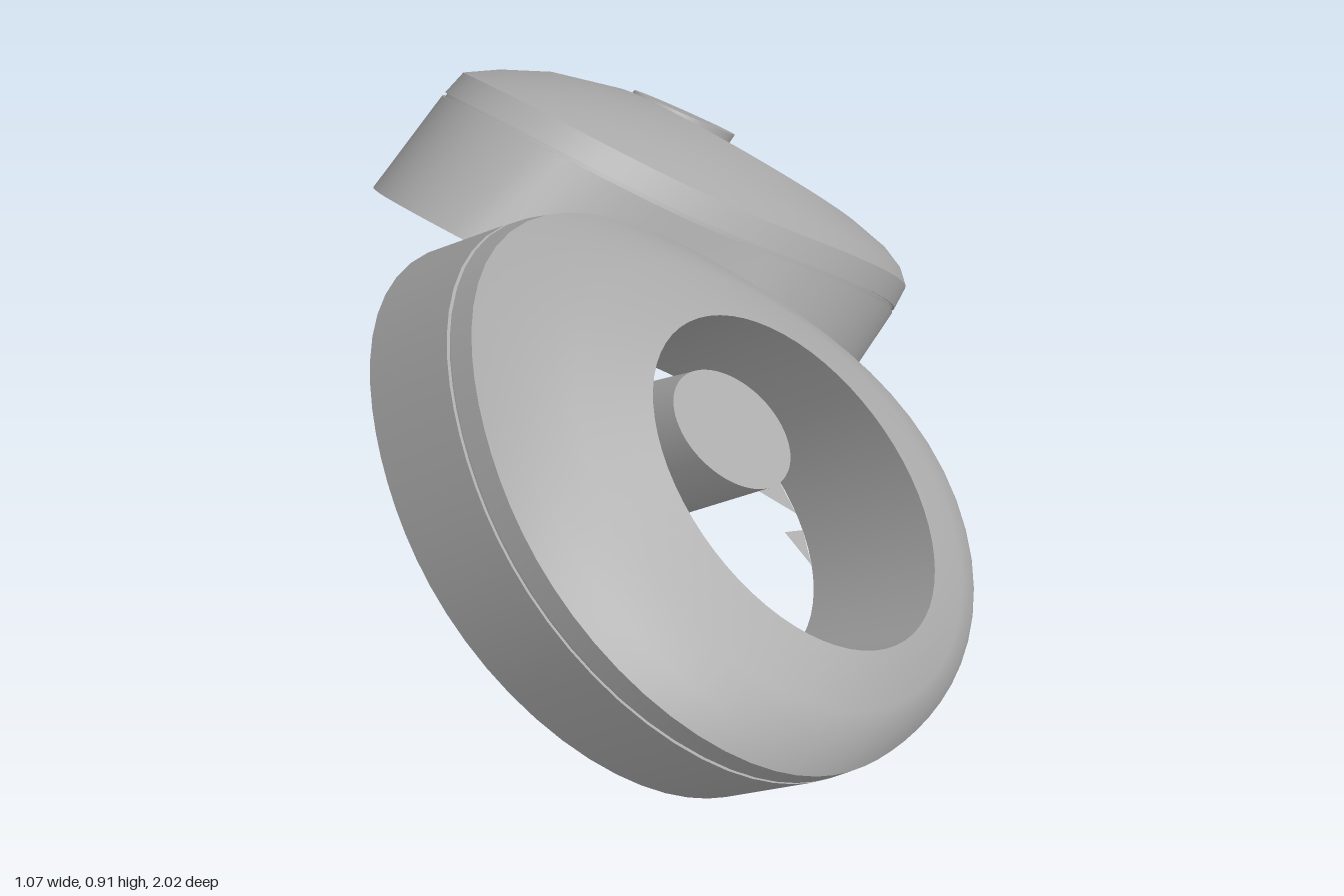
import * as THREE from 'three';

const SEG = 64;
// Each ring leans along an axis; its loops lie on a slope
const axis = [0.6, 0.565, 0.565];
const base = [-0.085, 0.381, 0.401];
const slope = (x, z) => -0.64 * x - 0.545 * z;

// Point at angle t on a loop
// {r: radius, h: height along axis, x, z: shift, k: steepness, e: egg shape with a saddle bend}
function place({ r, h, x = 0, z = 0, k = 1, e = 0 }, t, side) {
  const [c1, c2, c3] = [1, 2, 3].map((n) => Math.cos(n * (t + Math.PI / 4)));
  const egg = r * (1 - e * (0.06 * c1 + 0.034 * c2 + 0.06 * c3));
  const bend = -e * r * (0.03 + 0.075 * c2 + 0.035 * c3);
  const dx = egg * Math.cos(t), dz = -egg * Math.sin(t);
  return [
    base[0] + axis[0] * h + x + dx,
    base[1] + axis[1] * h + slope(x, z) + k * slope(dx, dz) + bend,
    Math.max(0, base[2] + axis[2] * h + z + dz) * side,
  ];
}

// Smooth skin through a row of loops
function skin(loops, side) {
  const pos = [], idx = [];
  for (const loop of loops)
    for (let j = 0; j < SEG; j++) pos.push(...place(loop, j / SEG * Math.PI * 2, side));
  for (let i = 0; i < loops.length - 1; i++)
    for (let j = 0; j < SEG; j++) {
      const n = (j + 1) % SEG;
      const a = i * SEG + j, b = i * SEG + n, c = a + SEG, d = b + SEG;
      if (side > 0) idx.push(a, b, c, b, d, c);
      else idx.push(a, c, b, b, c, d);
    }
  const g = new THREE.BufferGeometry();
  g.setAttribute('position', new THREE.Float32BufferAttribute(pos, 3));
  g.setIndex(idx);
  g.computeVertexNormals();
  return g;
}

// Small flat slivers around the lower edge of the hole
function slivers(hole, side) {
  const pos = [];
  for (const [t, len] of [[0.2, 0.04], [0.55, 0.06], [0.95, 0.06], [3.3, 0.04], [4.2, 0.08]]) {
    pos.push(...place(hole, t - 0.12, side), ...place(hole, t + 0.12, side),
      ...place({ ...hole, r: hole.r - len }, t + 0.08, side));
  }
  const g = new THREE.BufferGeometry();
  g.setAttribute('position', new THREE.Float32BufferAttribute(pos, 3));
  g.computeVertexNormals();
  return g;
}

export function createModel() {
  const model = new THREE.Group();
  const grey = new THREE.MeshStandardMaterial({ color: 0xa8a8a8, side: THREE.DoubleSide });
  grey.name = 'grey';

  // Loops of the ring, from the base outwards, over the top and down the hole
  const baseRim = { r: 0.446, h: 0, e: 1 };
  const wallTop = { r: 0.444, h: 0.228, e: 1 };
  const grooveLow = { r: 0.439, h: 0.228, e: 1 };
  const grooveTop = { r: 0.439, h: 0.237, e: 1 };
  const bandLow = { r: 0.443, h: 0.237, e: 1 };
  const crownEdge = { r: 0.438, h: 0.289, e: 1 };
  const crownLow = { r: 0.4, h: 0.323, x: 0.013, z: -0.008, e: 0.75 };
  const crownHigh = { r: 0.34, h: 0.354, x: 0.033, z: -0.02, k: 1.03, e: 0.4 };
  const holeTop = { r: 0.248, h: 0.379, x: 0.058, z: -0.037, k: 1.07 };
  const holeBase = { ...holeTop, h: 0.06, k: 1 };

  // Pin standing inside the hole, with a flatter cap
  const pinTop = { r: 0.101, h: 0.41, x: -0.073, z: -0.056, k: 0.83 };
  const pinBase = { ...pinTop, h: 0.07, k: 1 };

  const parts = {
    outerWall: [baseRim, wallTop],
    grooveLedge: [wallTop, grooveLow],
    groove: [grooveLow, grooveTop],
    grooveLip: [grooveTop, bandLow],
    band: [bandLow, crownEdge],
    crown: [crownEdge, crownLow, crownHigh, holeTop],
    holeWall: [holeTop, holeBase],
    baseFace: [holeBase, baseRim],
    pinSide: [pinBase, pinTop],
    pinCap: [pinTop, { ...pinTop, r: 0 }],
    pinBottom: [{ ...pinBase, r: 0 }, pinBase],
  };

  for (const side of [1, -1]) {
    const ring = new THREE.Group();
    ring.name = side > 0 ? 'frontRing' : 'backRing';
    for (const [name, loops] of Object.entries(parts)) {
      const mesh = new THREE.Mesh(skin(loops, side), grey);
      mesh.name = name;
      ring.add(mesh);
    }
    const chips = new THREE.Mesh(slivers(holeBase, side), grey);
    chips.name = 'holeSlivers';
    ring.add(chips);
    model.add(ring);
  }
  return model;
}
